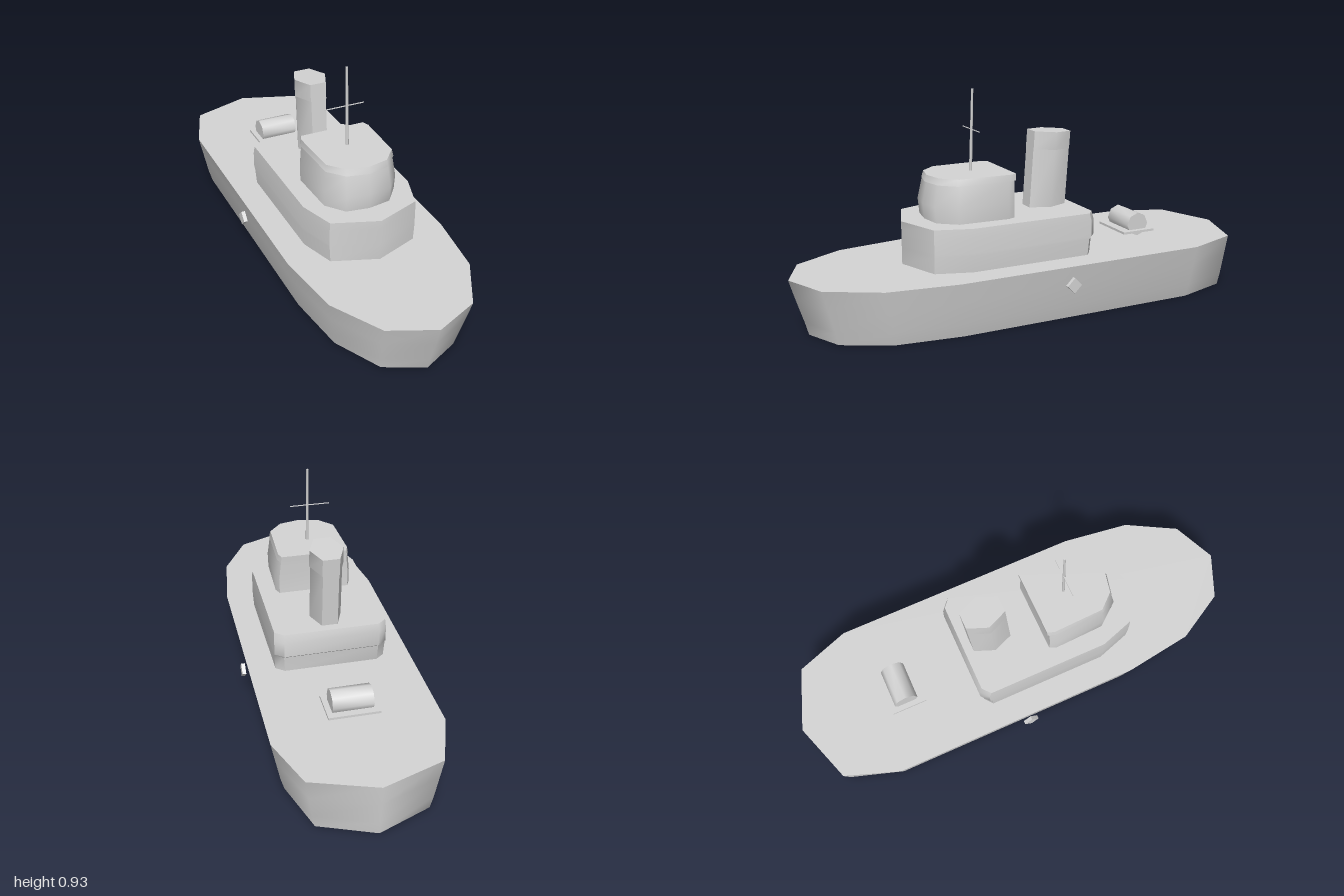
import * as THREE from 'three';
import { toCreasedNormals } from 'three/addons/utils/BufferGeometryUtils.js';

const grey = new THREE.MeshStandardMaterial({ color: 0xd4d4d4, side: THREE.DoubleSide });
grey.name = 'shipGrey';

// Mirror a half outline of [x, z] points, listed bow to stern on the +x side
const mirror = (half) => [
  ...half,
  ...half.filter((p) => p[0] > 0).reverse().map(([x, z]) => [-x, z]),
];

// Skin over a stack of rings of [x, y, z] points, lowest first, capped on top
// and, unless open, underneath
function loft(rings, crease, open = false) {
  const n = rings[0].length;
  const index = [];
  for (let r = 0; r < rings.length - 1; r++) {
    for (let i = 0; i < n; i++) {
      const a = r * n + i, b = r * n + (i + 1) % n;
      index.push(a, b, b + n, a, b + n, a + n);
    }
  }
  const top = (rings.length - 1) * n;
  for (let i = 1; i < n - 1; i++) {
    index.push(top, top + i, top + i + 1);
    if (!open) index.push(0, i + 1, i);
  }
  const geometry = new THREE.BufferGeometry();
  geometry.setAttribute('position', new THREE.Float32BufferAttribute(rings.flat(2), 3));
  geometry.setIndex(index);
  return toCreasedNormals(geometry, crease);
}

// Scale an outline about the origin and place it at height y
const ring = (outline, y, sx = 1, front = 1, back = 1) =>
  outline.map(([x, z]) => [x * sx, y, z * (z > 0 ? front : back)]);

export function createModel() {
  const ship = new THREE.Group();
  ship.name = 'tugboat';
  const add = (name, geometry, x = 0, y = 0, z = 0) => {
    const mesh = new THREE.Mesh(geometry, grey);
    mesh.name = name;
    mesh.position.set(x, y, z);
    ship.add(mesh);
    return mesh;
  };

  // Hull flares outward towards the deck and is an open shell below it
  const deck = mirror([[0, 1], [0.185, 0.92], [0.302, 0.71], [0.342, 0.42], [0.342, -0.68], [0.26, -0.91], [0, -1]]);
  add('hull', loft([
    ring(deck, 0, 0.85, 0.93, 0.98),
    ring(deck, 0.055, 0.895, 0.945, 0.985),
    ring(deck, 0.15, 0.95, 0.975, 0.993),
    ring(deck, 0.235),
  ], 1, true));

  // Deckhouse with a slightly raised band around its after end
  const house = mirror([[0, 0.535], [0.188, 0.468], [0.236, 0.32], [0.236, -0.21], [0.2, -0.24]]);
  add('deckhouse', loft([
    ring(house, 0.236, 0.98, 1, 0.95),
    ring(house, 0.305, 1, 1, 0.97),
    ring(house, 0.315, 1, 1, 1.02),
    ring(house, 0.38, 1, 1, 1.02),
    ring(house, 0.415, 0.99, 1, 0.98),
  ], 0.8));

  // Wheelhouse tapers upward under a thin overhanging roof
  const bridge = mirror([[0, 0.435], [0.095, 0.42], [0.155, 0.345], [0.163, 0.13], [0.15, 0.1]]);
  add('wheelhouse', loft([
    ring(bridge, 0.414),
    ring(bridge, 0.48, 1.01, 1.015),
    ring(bridge, 0.57, 0.95, 0.97),
  ], 1));
  const roof = mirror([[0, 0.43], [0.09, 0.41], [0.148, 0.345], [0.156, 0.12], [0.145, 0.09]]);
  add('wheelhouseRoof', loft([ring(roof, 0.568), ring(roof, 0.595, 0.97, 0.98)], 1));

  // Raked six-sided funnel with a slightly wider cap
  const stack = mirror([[0.034, 0.085], [0.068, 0], [0.034, -0.085]]);
  const stackRing = (y, scale, slope = 0) => stack.map(([x, z]) =>
    [x * scale, y + z * slope, z - 0.113 - (y - 0.415) * 0.072]);
  add('funnel', loft([stackRing(0.41, 0.98), stackRing(0.665, 0.98, 0.06)], 0.9));
  add('funnelCap', loft([stackRing(0.66, 1.04, 0.06), stackRing(0.735, 1.04, 0.06)], 0.9));

  // Mast and thin yard
  const mast = add('mast', new THREE.CylinderGeometry(0.005, 0.007, 0.336, 6), 0, 0.762, 0.222);
  mast.rotation.x = -0.035;
  add('yard', new THREE.BoxGeometry(0.17, 0.003, 0.004), -0.01, 0.764, 0.219);

  // Towing winch on the after deck
  add('winchPlate', new THREE.BoxGeometry(0.21, 0.01, 0.155), 0, 0.262, -0.538);
  const drum = new THREE.CylinderGeometry(0.052, 0.052, 0.165, 8);
  drum.rotateZ(Math.PI / 2);
  add('winchDrum', toCreasedNormals(drum, 0.9), 0, 0.29, -0.543);

  // Diamond-shaped fenders on both sides
  for (const [side, name] of [[1, 'leftFender'], [-1, 'rightFender']]) {
    const fender = add(name, new THREE.BoxGeometry(0.016, 0.046, 0.046), side * 0.348, 0.158, -0.07);
    fender.rotation.x = Math.PI / 4;
  }

  return ship;
}
